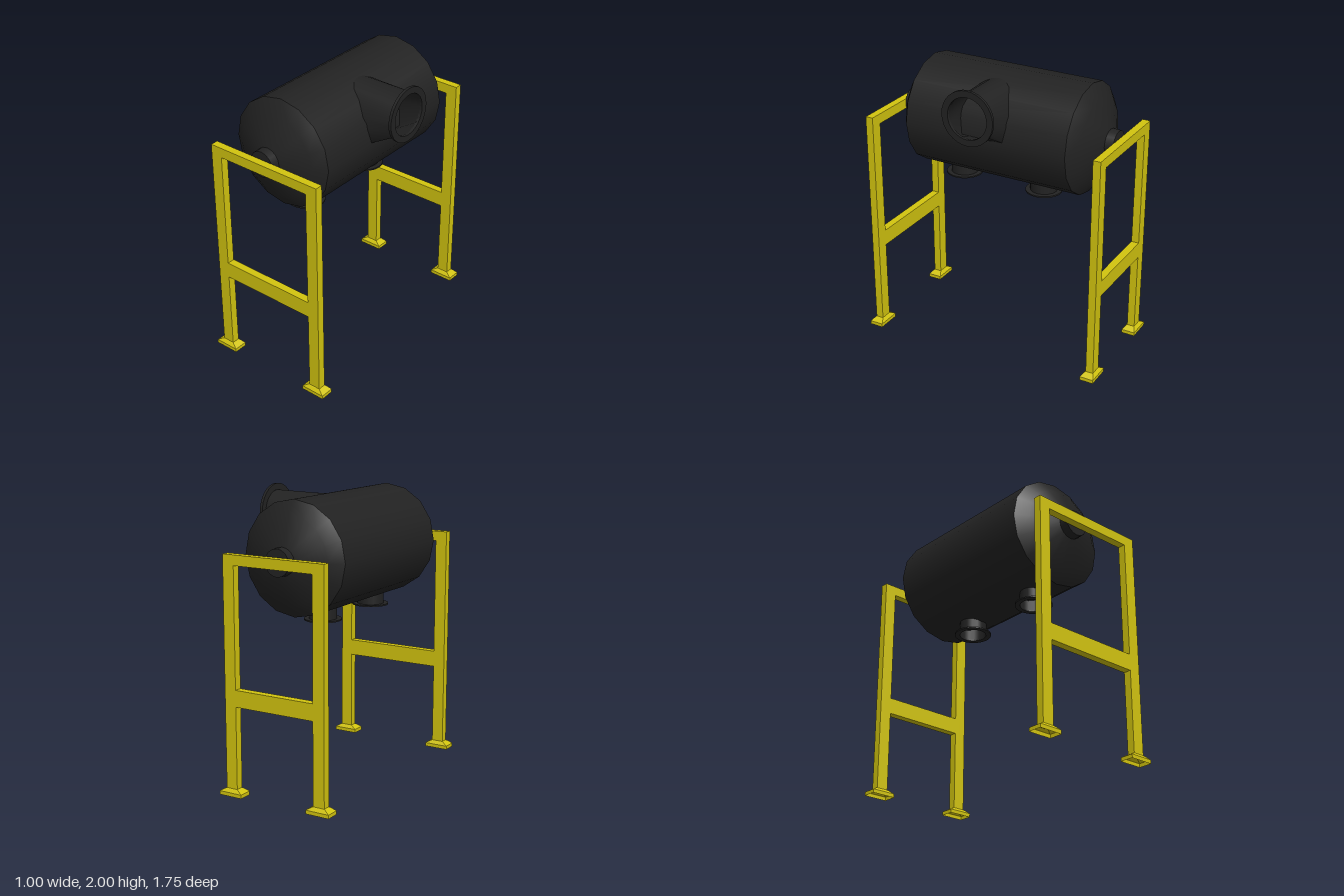
import * as THREE from 'three';

const V = (x, y) => new THREE.Vector2(x, y);

// Joins closed rings of points into an open skin
function loft(rings) {
  const n = rings[0].length;
  const index = [];
  for (let r = 0; r < rings.length - 1; r++) {
    for (let i = 0; i < n; i++) {
      const j = (i + 1) % n;
      const a = r * n + i, b = r * n + j, c = b + n, d = a + n;
      index.push(a, b, c, a, c, d);
    }
  }
  const geo = new THREE.BufferGeometry();
  geo.setAttribute('position', new THREE.Float32BufferAttribute(rings.flat(2), 3));
  geo.setIndex(index);
  geo.computeVertexNormals();
  return geo;
}

// Flat ring with a hole, lying in xy and growing along +z
function flangeGeometry(outer, inner, depth) {
  const shape = new THREE.Shape().absarc(0, 0, outer, 0, Math.PI * 2, false);
  shape.holes.push(new THREE.Path().absarc(0, 0, inner, 0, Math.PI * 2, true));
  return new THREE.ExtrudeGeometry(shape, { depth, bevelEnabled: false, curveSegments: 16 });
}

export function createModel() {
  const black = new THREE.MeshStandardMaterial({ color: 0x222222, side: THREE.DoubleSide });
  black.name = 'black';
  const yellow = new THREE.MeshStandardMaterial({ color: 0xd2c40f, side: THREE.DoubleSide });
  yellow.name = 'yellow';

  const model = new THREE.Group();
  model.name = 'tankOnStand';
  const add = (parent, name, geo, mat, x = 0, y = 0, z = 0) => {
    const mesh = new THREE.Mesh(geo, mat);
    mesh.name = name;
    mesh.position.set(x, y, z);
    parent.add(mesh);
    return mesh;
  };

  // Tank: cylindrical shell, two domed heads, each with a stub
  const CX = -0.07, CY = 1.595, R = 0.385;
  const tank = new THREE.Group();
  tank.name = 'tank';
  tank.position.set(CX, CY, 0);
  model.add(tank);
  const lathe = (pts) => new THREE.LatheGeometry(pts, 16).rotateX(Math.PI / 2);
  add(tank, 'shell', lathe([V(R, -0.6), V(R, 0.6)]), black);
  for (const side of ['front', 'back']) {
    const end = new THREE.Group();
    end.name = side + 'End';
    if (side === 'back') end.rotation.y = Math.PI;
    tank.add(end);
    add(end, 'head', lathe([V(R, 0.6), V(0.295, 0.66), V(0.1, 0.74), V(0, 0.742)]), black);
    add(end, 'stub', new THREE.CylinderGeometry(0.092, 0.095, 0.07, 16).rotateX(Math.PI / 2), black, 0, 0, 0.765);
  }

  // Side nozzle: saddle-shaped foot blending into a round mouth
  const NY = 1.81, NZ = 0.01, NR = 0.145;
  const half = [[1.95, 0], [1.945, 0.05], [1.92, 0.1], [1.86, 0.145], [1.78, 0.175],
    [1.7, 0.172], [1.6, 0.155], [1.6, 0.08], [1.6, 0]];
  const saddle = [], mouth = [];
  for (let i = 0; i < 16; i++) {
    const [y, z] = half[i <= 8 ? i : 16 - i];
    const x = CX + Math.sqrt(R * R - (y - CY) ** 2) - 0.015;
    saddle.push([x, y, NZ + (i <= 8 ? z : -z)]);
    const a = (i / 16) * Math.PI * 2;
    mouth.push([0.48, NY + NR * Math.cos(a), NZ + NR * Math.sin(a)]);
  }
  add(model, 'sideNozzle', loft([saddle, mouth]), black);
  add(model, 'sideFlange', flangeGeometry(0.19, NR, 0.02).rotateY(Math.PI / 2), black, 0.475, NY, NZ);

  // Two bottom outlets with flanges
  for (const z of [0.375, -0.257]) {
    add(model, 'outletNeck', new THREE.CylinderGeometry(0.095, 0.095, 0.12, 16, 1, true), black, CX, 1.2, z);
    add(model, 'outletFlange', flangeGeometry(0.128, 0.092, 0.01).rotateX(-Math.PI / 2), black, CX, 1.135, z);
  }

  // Stand frames: two legs on flared feet, top rail and cross rail
  const rect = (w, d, y) => [[w / 2, y, d / 2], [w / 2, y, -d / 2], [-w / 2, y, -d / 2], [-w / 2, y, d / 2]];
  const W = 0.085, D = 0.055;
  const footGeo = loft([rect(0.175, 0.098, 0), rect(0.175, 0.098, 0.026),
    rect(0.105, 0.066, 0.046), rect(W, D, 0.05)]).toNonIndexed();
  footGeo.computeVertexNormals();
  const frames = [['frontFrame', 0.826, 0.3825], ['backFrame', -0.826, 0.2725]];
  for (const [name, z, rightX] of frames) {
    const frame = new THREE.Group();
    frame.name = name;
    frame.position.z = z;
    model.add(frame);
    const leftX = -0.4125;
    for (const x of [leftX, rightX]) {
      add(frame, 'leg', new THREE.BoxGeometry(W, 1.59, D), yellow, x, 0.835, 0);
      add(frame, 'foot', footGeo, yellow, x, 0, 0);
    }
    const span = rightX - leftX - W, mid = (leftX + rightX) / 2;
    add(frame, 'topRail', new THREE.BoxGeometry(span, 0.07, D), yellow, mid, 1.595, 0);
    add(frame, 'crossRail', new THREE.BoxGeometry(span, 0.115, D), yellow, mid, 0.6775, 0);
  }
  return model;
}
